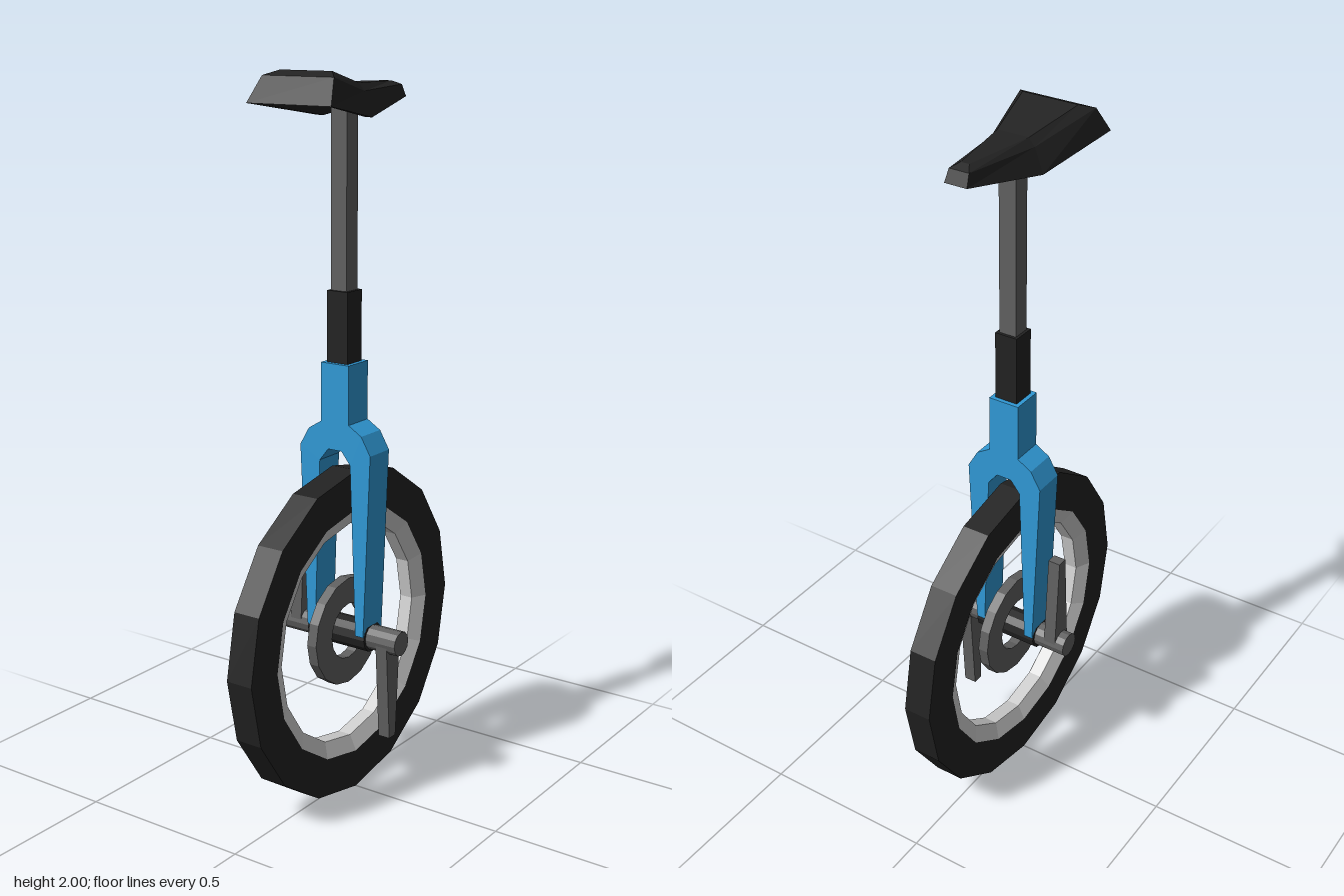
import * as THREE from 'three';

const mat = (name, color) => {
  const m = new THREE.MeshStandardMaterial({ color, flatShading: true });
  m.name = name;
  return m;
};

// Saddle shell: three cross-sections, each listing half-width, height and depth
// for top edge, shoulder, rim, inner rim and underside recess
function saddleGeometry() {
  const rows = [
    [[0.08, 2.0, 0.165], [0.11, 1.987, 0.2], [0.13, 1.92, 0.24], [0.105, 1.918, 0.215], [0.06, 1.94, 0.18]],
    [[0.045, 1.965, 0], [0.062, 1.945, 0], [0.086, 1.88, 0], [0.065, 1.88, 0], [0.035, 1.905, 0]],
    [[0.012, 1.962, -0.2], [0.028, 1.952, -0.225], [0.032, 1.92, -0.24], [0.024, 1.92, -0.22], [0.01, 1.93, -0.19]],
  ];
  const pos = [];
  const flip = ([x, y, z]) => [-x, y, z];
  const quad = (a, b, c, d) => pos.push(...a, ...b, ...c, ...a, ...c, ...d);
  for (let r = 0; r < 2; r++) {
    const f = rows[r], b = rows[r + 1];
    for (let i = 0; i < 4; i++) {
      quad(f[i + 1], b[i + 1], b[i], f[i]);
      quad(flip(f[i]), flip(b[i]), flip(b[i + 1]), flip(f[i + 1]));
    }
    quad(flip(f[0]), f[0], b[0], flip(b[0]));
    quad(flip(b[4]), b[4], f[4], flip(f[4]));
  }
  for (let i = 0; i < 4; i++) {
    const f = rows[0], b = rows[2];
    quad(flip(f[i + 1]), f[i + 1], f[i], flip(f[i]));
    quad(flip(b[i]), b[i], b[i + 1], flip(b[i + 1]));
  }
  const g = new THREE.BufferGeometry();
  g.setAttribute('position', new THREE.Float32BufferAttribute(pos, 3));
  g.computeVertexNormals();
  return g;
}

export function createModel() {
  const model = new THREE.Group();
  model.name = 'unicycle';
  const black = mat('black rubber', 0x222222);
  const grey = mat('grey metal', 0x606060);
  const blue = mat('blue paint', 0x3099d6);
  const silver = mat('silver rim', 0xd0d0d0);
  const axleY = 0.47;

  const add = (name, geometry, material, x = 0, y = 0, z = 0) => {
    const m = new THREE.Mesh(geometry, material);
    m.name = name;
    m.position.set(x, y, z);
    model.add(m);
    return m;
  };
  // Ring turned about the x axis from [radius, offset] points
  const ring = (profile) =>
    new THREE.LatheGeometry(profile.map(([r, o]) => new THREE.Vector2(r, o)), 16).rotateZ(Math.PI / 2);
  const rod = (radius, length) => new THREE.CylinderGeometry(radius, radius, length, 12).rotateZ(Math.PI / 2);

  // Wheel
  add('tyre', ring([[0.36, -0.04], [0.47, -0.04], [0.47, 0.04], [0.36, 0.04]]), black, 0, axleY);
  add('rim', ring([[0.36, 0.04], [0.316, 0.02], [0.316, -0.02], [0.36, -0.04]]), silver, 0, axleY);
  add('hubRing', ring([[0.08, -0.015], [0.155, -0.015], [0.155, 0.015], [0.08, 0.015], [0.08, -0.015]]), grey, 0, axleY);
  add('hub', rod(0.043, 0.19), black, 0, axleY);

  // Pedals and tapered cranks, one pointing down and one up
  for (const side of [1, -1]) {
    add(side > 0 ? 'leftPedal' : 'rightPedal', rod(0.035, 0.1), grey, side * 0.14, axleY);
    const shape = new THREE.Shape([[-0.033, 0], [-0.015, -0.283], [0.015, -0.283], [0.033, 0]]
      .map(([x, y]) => new THREE.Vector2(x, y)));
    const g = new THREE.ExtrudeGeometry(shape, { depth: 0.036, bevelEnabled: false });
    g.translate(0, 0, -0.018).rotateY(Math.PI / 2);
    const crank = add(side > 0 ? 'leftCrank' : 'rightCrank', g, grey, side * 0.145, axleY);
    if (side < 0) crank.rotation.x = Math.PI;
  }

  // Fork: half outline mirrored, then extruded front to back
  const half = [[0.045, 1.237], [0.045, 1.075], [0.086, 1.05], [0.115, 1.0], [0.094, 0.48],
    [0.068, 0.48], [0.05, 0.965], [0.022, 1.0]];
  const outline = [...half, ...half.map(([x, y]) => [-x, y]).reverse()].map(([x, y]) => new THREE.Vector2(x, y));
  add('fork', new THREE.ExtrudeGeometry(new THREE.Shape(outline), { depth: 0.09, bevelEnabled: false }),
    blue, 0, 0, -0.045);

  // Seat post and saddle
  add('collar', new THREE.BoxGeometry(0.066, 0.21, 0.066), black, 0, 1.325);
  add('seatPost', new THREE.BoxGeometry(0.05, 0.51, 0.05), grey, 0, 1.665);
  add('saddle', saddleGeometry(), black);

  return model;
}
